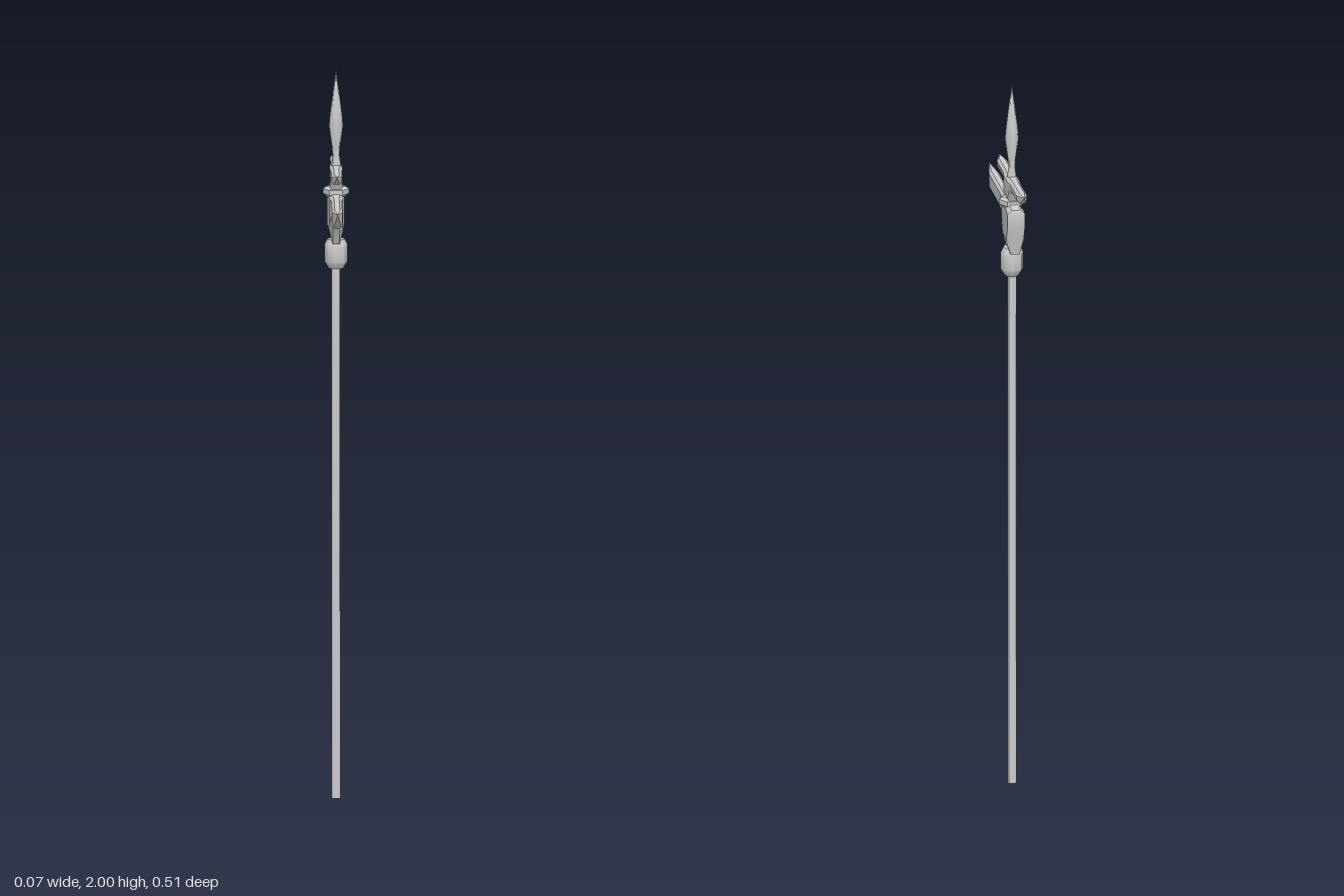
import * as THREE from 'three';
import { toCreasedNormals } from 'three/addons/utils/BufferGeometryUtils.js';

const material = new THREE.MeshStandardMaterial({ color: 0xcccccc, side: THREE.DoubleSide });
const POLE_Z = -0.072;

// Solid of chamfered sections along z; stations are [z, half width, top, bottom]
function loft(stations, taper = 0.5) {
  const positions = [], index = [];
  for (const [z, w, top, bottom] of stations) {
    const h = top - bottom;
    const c = Math.min(0.5 * w, 0.4 * h);
    const d = Math.max(c, 0.45 * (h - 0.05));
    const ring = [[taper * w, bottom], [w, bottom + d], [w, top - c], [0.5 * w, top],
      [-0.5 * w, top], [-w, top - c], [-w, bottom + d], [-taper * w, bottom]];
    for (const [x, y] of ring) positions.push(x, y, z);
  }
  for (let i = 0; i < stations.length - 1; i++) {
    for (let j = 0; j < 8; j++) {
      const a = i * 8 + j, b = i * 8 + (j + 1) % 8;
      index.push(a, b, b + 8, a, b + 8, a + 8);
    }
  }
  const geometry = new THREE.BufferGeometry();
  geometry.setAttribute('position', new THREE.Float32BufferAttribute(positions, 3));
  geometry.setIndex(index);
  return toCreasedNormals(geometry, 0.7);
}

// Turned part around the pole axis; profile is [radius, y] from bottom to top
function turned(profile, sides, crease = 0.85) {
  const points = profile.map(([r, y]) => new THREE.Vector2(r, y));
  const geometry = new THREE.LatheGeometry(points, sides, Math.PI / 2);
  geometry.translate(0, 0, POLE_Z);
  return toCreasedNormals(geometry, crease);
}

export function createModel() {
  const model = new THREE.Group();
  const add = (name, geometry) => {
    const mesh = new THREE.Mesh(geometry, material);
    mesh.name = name;
    model.add(mesh);
  };

  add('pole', turned([[0, 0], [0.0125, 0], [0.0125, 1.48], [0, 1.48]], 8));

  // Socket where the head joins the pole
  add('socket', turned([[0, 1.455], [0.02, 1.455], [0.031, 1.473], [0.031, 1.52],
    [0.024, 1.535], [0, 1.535]], 8));

  // Lower blade: deep hub sweeping into a long forward arm
  add('lowerBlade', loft([
    [-0.145, 0, 1.65, 1.65],
    [-0.138, 0.024, 1.662, 1.607],
    [-0.118, 0.024, 1.665, 1.528],
    [-0.1, 0.022, 1.665, 1.527],
    [-0.037, 0.019, 1.662, 1.527],
    [-0.02, 0.018, 1.662, 1.562],
    [0, 0.016, 1.662, 1.59],
    [0.02, 0.014, 1.662, 1.606],
    [0.045, 0.014, 1.662, 1.612],
    [0.18, 0.014, 1.662, 1.612],
    [0.203, 0.0098, 1.662, 1.614],
    [0.255, 0, 1.662, 1.662],
  ]));

  // Hexagonal collar between the two blades
  add('collar', turned([[0, 1.652], [0.026, 1.652], [0.035, 1.66], [0.035, 1.673],
    [0.026, 1.68], [0, 1.68]], 6, 0.3));

  // Upper crossbar, pointed at both ends, with a flared stem beneath
  add('upperBlade', loft([
    [-0.255, 0, 1.738, 1.738],
    [-0.228, 0.0095, 1.738, 1.713],
    [-0.215, 0.014, 1.738, 1.711],
    [-0.125, 0.014, 1.738, 1.711],
    [-0.112, 0.015, 1.738, 1.702],
    [-0.1, 0.017, 1.738, 1.675],
    [-0.044, 0.017, 1.738, 1.675],
    [-0.032, 0.015, 1.738, 1.702],
    [-0.019, 0.014, 1.738, 1.711],
    [0.07, 0.014, 1.738, 1.711],
    [0.081, 0.0095, 1.738, 1.713],
    [0.107, 0, 1.738, 1.738],
  ], 0.7));

  // Leaf-shaped spear point
  add('spearPoint', turned([[0, 1.73], [0.013, 1.735], [0.0095, 1.765], [0.0105, 1.785],
    [0.019, 1.845], [0.0165, 1.875], [0.009, 1.935], [0, 2]], 8));

  return model;
}
